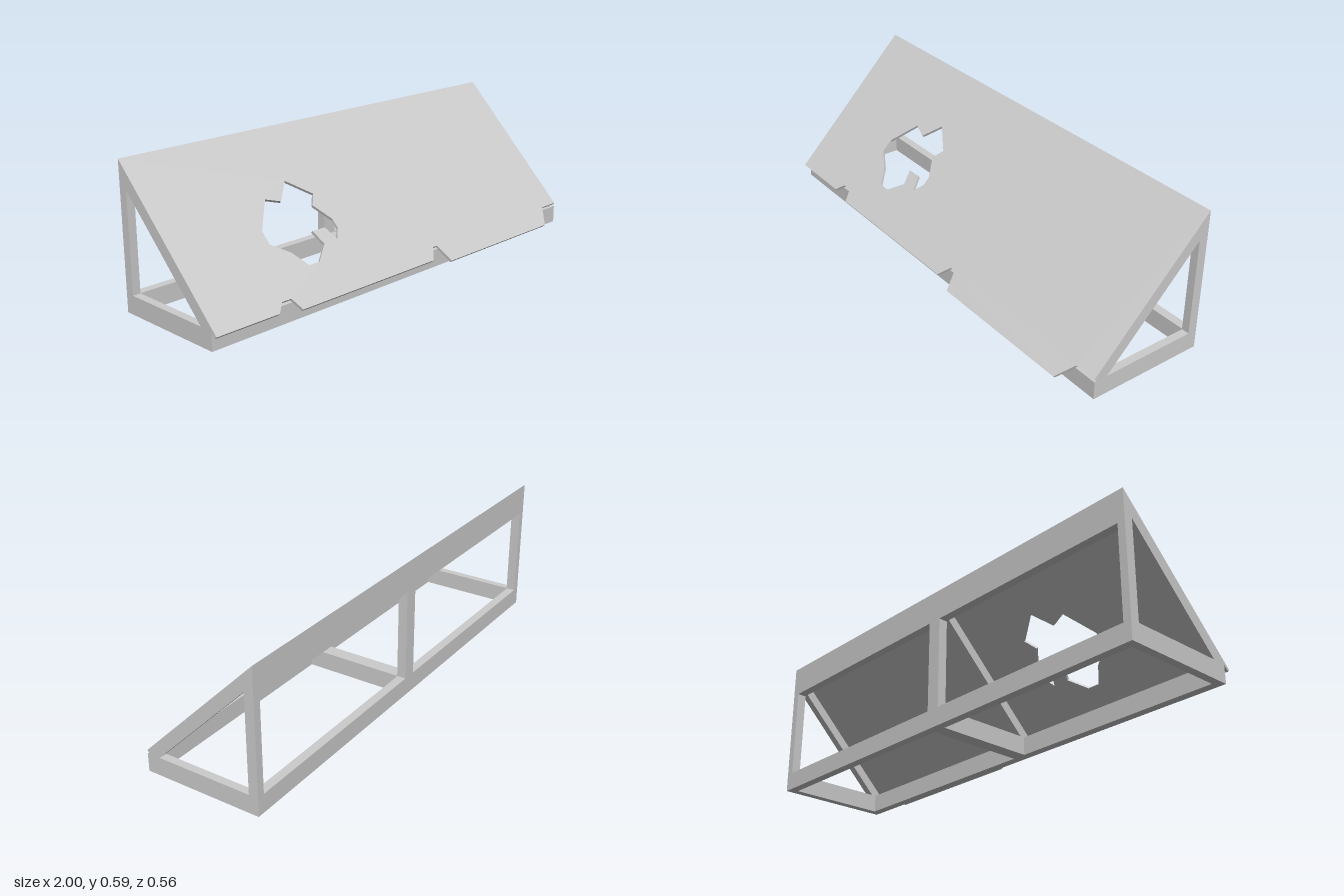
import * as THREE from 'three';

const material = new THREE.MeshStandardMaterial({ color: 0xcccccc, flatShading: true });
const BACK = -0.28, FRONT = 0.22, BASE = 0.0765;
const ROOF_TOP = 0.31, ROOF_UNDER = 0.294; // y + z on each face of the 45 degree roof
const toPoints = (list) => list.map(([a, b]) => new THREE.Vector2(a, b));

// Extrudes a (z, y) outline along x, centred on x
function acrossX(name, outline, width, x, hole) {
  const shape = new THREE.Shape(toPoints(outline));
  if (hole) shape.holes.push(new THREE.Path(toPoints(hole)));
  const geometry = new THREE.ExtrudeGeometry(shape, { depth: width, bevelEnabled: false });
  geometry.translate(0, 0, -width / 2).rotateY(-Math.PI / 2).translate(x, 0, 0);
  const mesh = new THREE.Mesh(geometry, material);
  mesh.name = name;
  return mesh;
}

// Sloping board with a ragged eave and a broken hole; outlines are (x, height)
function createRoof() {
  const eave = [
    [-1, 0.062], [-0.715, 0.062], [-0.68, 0.089], [-0.635, 0.089], [-0.612, 0.051],
    [0.105, 0.051], [0.145, 0.089], [0.17, 0.089], [0.197, 0.031],
    [0.85, 0.031], [0.905, 0.089], [1, 0.089],
  ];
  const hole = [
    [-0.595, 0.29], [-0.505, 0.375], [-0.44, 0.357], [-0.37, 0.413], [-0.275, 0.353], [-0.31, 0.32],
    [-0.257, 0.264], [-0.257, 0.235], [-0.29, 0.203], [-0.315, 0.248], [-0.38, 0.248], [-0.36, 0.203],
    [-0.428, 0.159], [-0.48, 0.159], [-0.525, 0.208], [-0.595, 0.248],
  ];
  const alongSlope = (list) => toPoints(list.map(([x, y]) => [x, y * Math.SQRT2]));
  const ridge = ROOF_TOP - BACK;
  const shape = new THREE.Shape(alongSlope([...eave, [1, ridge], [-1, ridge]]));
  shape.holes.push(new THREE.Path(alongSlope(hole)));
  const depth = (ROOF_TOP - ROOF_UNDER) / Math.SQRT2;
  const geometry = new THREE.ExtrudeGeometry(shape, { depth, bevelEnabled: false });
  geometry.translate(0, 0, -depth).rotateX(-Math.PI / 4).translate(0, 0, ROOF_TOP);

  // Trim the ridge edge flush with the vertical back
  const p = geometry.attributes.position;
  for (let i = 0; i < p.count; i++) {
    const over = BACK - p.getZ(i);
    if (over > 0) p.setXYZ(i, p.getX(i), p.getY(i) - over, BACK);
  }
  geometry.computeVertexNormals();
  const roof = new THREE.Mesh(geometry, material);
  roof.name = 'roofBoard';
  return roof;
}

export function createModel() {
  const model = new THREE.Group();
  model.name = 'brokenLeanToRoof';
  model.add(createRoof());

  // Triangular frames: thin at the ends, double width in the middle
  const END = 0.033, MIDDLE = 0.06;
  const outer = [[FRONT, 0], [FRONT, ROOF_UNDER - FRONT], [BACK, ROOF_UNDER - BACK], [BACK, 0]];
  const opening = [[0.163, BASE], [-0.241, BASE], [-0.241, 0.481]];
  for (const [name, x, width] of [
    ['rightFrame', -1 + END / 2, END], ['middleFrame', 0, MIDDLE], ['leftFrame', 1 - END / 2, END],
  ]) model.add(acrossX(name, outer, width, x, opening));

  // Beams spanning each bay
  const inner = BACK + 0.037, frontInner = FRONT - 0.037;
  const beams = {
    frontBeam: [[FRONT, 0], [FRONT, ROOF_UNDER - FRONT], [ROOF_UNDER - BASE, BASE], [frontInner, BASE], [frontInner, 0]],
    backBeam: [[BACK, 0], [inner, 0], [inner, BASE], [BACK, BASE]],
    ridgeBeam: [[BACK, 0.46], [inner, 0.46], [inner, ROOF_UNDER - inner], [BACK, ROOF_UNDER - BACK]],
  };
  const span = 1 - END - MIDDLE / 2;
  for (const side of [-1, 1]) {
    for (const [name, outline] of Object.entries(beams)) {
      model.add(acrossX(name, outline, span, side * (MIDDLE / 2 + span / 2)));
    }
  }
  return model;
}
